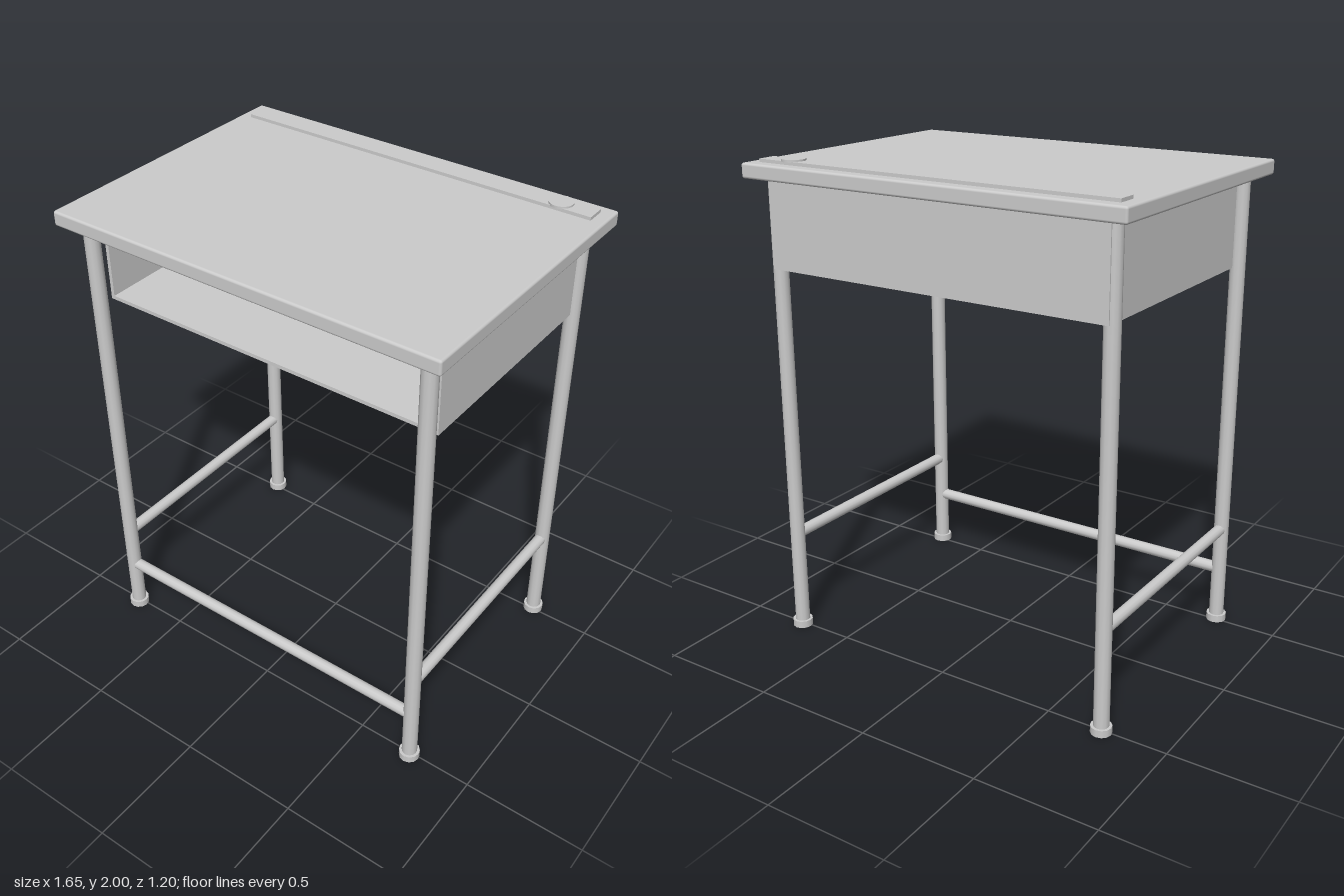
import * as THREE from 'three';
import { RoundedBoxGeometry } from 'three/addons/geometries/RoundedBoxGeometry.js';

const LEG_X = 0.735, LEG_Z = 0.51;

export function createModel() {
  const desk = new THREE.Group();
  desk.name = 'schoolDesk';
  const material = new THREE.MeshStandardMaterial({ color: 0xcccccc });

  const add = (name, geometry, x, y, z) => {
    const mesh = new THREE.Mesh(geometry, material);
    mesh.name = name;
    mesh.position.set(x, y, z);
    desk.add(mesh);
    return mesh;
  };
  // Box given by its limits on each axis
  const box = (name, [x0, x1], [y0, y1], [z0, z1]) =>
    add(name, new THREE.BoxGeometry(x1 - x0, y1 - y0, z1 - z0),
      (x0 + x1) / 2, (y0 + y1) / 2, (z0 + z1) / 2);
  const rod = (radius, length, sides = 12) =>
    new THREE.CylinderGeometry(radius, radius, length, sides);

  // Desktop with softened edges
  add('desktop', new RoundedBoxGeometry(1.65, 0.06, 1.2, 2, 0.01), 0, 1.95, 0);

  // Raised strip along the back and the round lid on it
  box('pencilStrip', [-0.775, 0.775], [1.97, 1.993], [-0.55, -0.47]);
  add('inkwellLid', rod(0.047, 0.01, 24), 0.637, 1.995, -0.51);

  // Book tray, open at the front
  box('trayFloor', [-0.74, 0.74], [1.57, 1.585], [-0.545, 0.445]);
  box('trayBack', [-0.74, 0.74], [1.57, 1.925], [-0.545, -0.53]);
  for (const s of [-1, 1]) {
    box('traySide', [s * 0.7325 - 0.0075, s * 0.7325 + 0.0075], [1.57, 1.925], [-0.545, 0.445]);
  }

  // Legs with rubber feet, and a side stretcher per pair
  for (const sx of [-1, 1]) {
    for (const sz of [-1, 1]) {
      add('leg', rod(0.031, 1.92), sx * LEG_X, 0.965, sz * LEG_Z);
      add('foot', rod(0.042, 0.03), sx * LEG_X, 0.015, sz * LEG_Z);
    }
    add('sideStretcher', rod(0.024, 2 * LEG_Z), sx * LEG_X, 0.43, 0).rotation.x = Math.PI / 2;
  }

  // Low bar between the front legs
  add('frontStretcher', rod(0.024, 2 * LEG_X), 0, 0.243, LEG_Z).rotation.z = Math.PI / 2;

  return desk;
}
